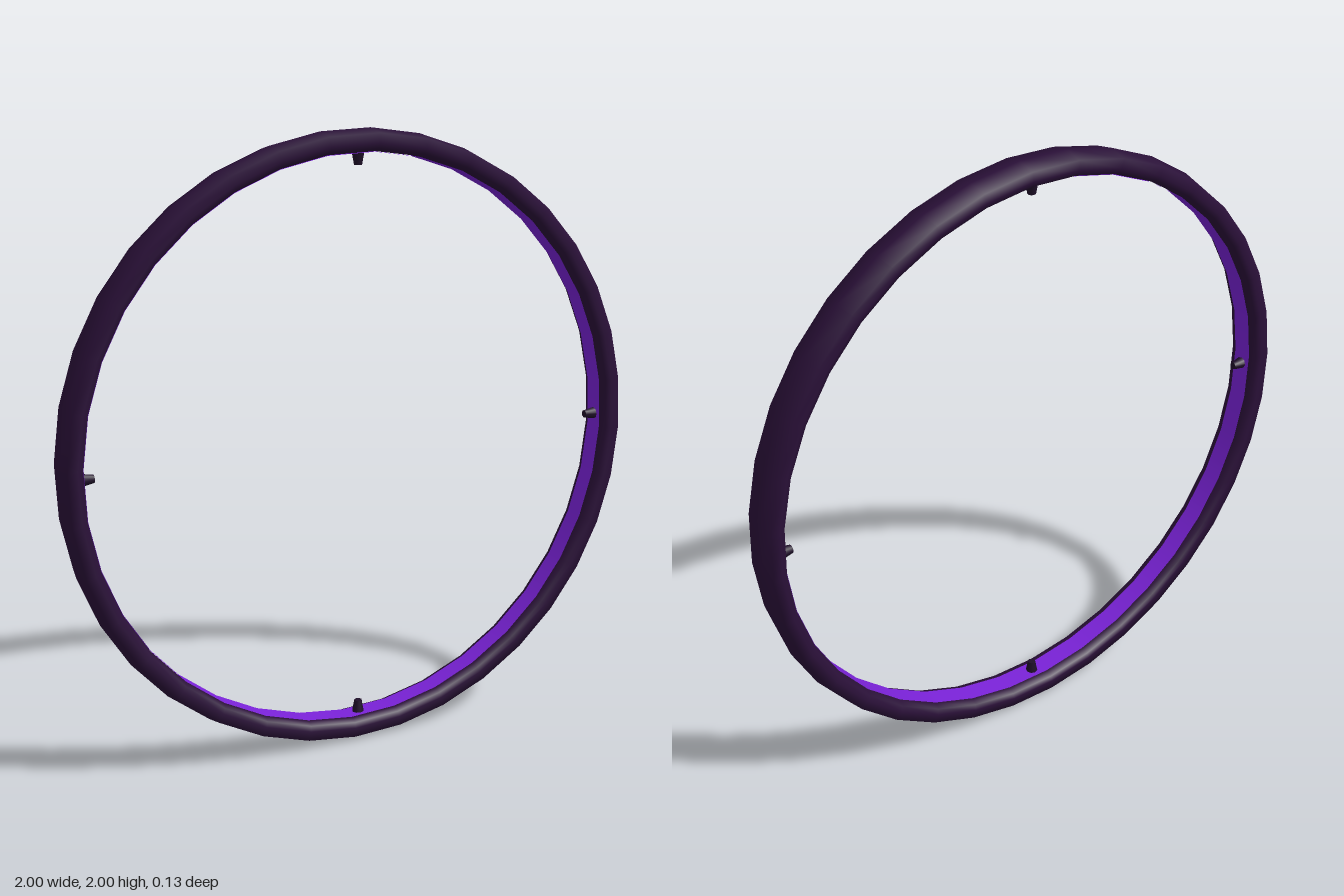
import * as THREE from 'three';

const SEGMENTS = 36;
const TWIST = -THREE.MathUtils.degToRad(2.5);

// Revolve a [radius, depth] profile around the z axis
function revolve(profile) {
  const points = profile.map(([r, z]) => new THREE.Vector2(r, z));
  const geometry = new THREE.LatheGeometry(points, SEGMENTS, TWIST, Math.PI * 2);
  return geometry.rotateX(Math.PI / 2);
}

export function createModel() {
  const model = new THREE.Group();
  model.name = 'ring';

  const darkPurple = new THREE.MeshStandardMaterial({ color: 0x2a1038 });
  darkPurple.name = 'dark purple';
  const brightPurple = new THREE.MeshStandardMaterial({ color: 0x7a22d8, side: THREE.DoubleSide });
  brightPurple.name = 'bright purple';
  const nearBlack = new THREE.MeshStandardMaterial({ color: 0x1e0f28 });
  nearBlack.name = 'near black';

  const assembly = new THREE.Group();
  assembly.name = 'ringAssembly';
  assembly.position.y = 1;
  model.add(assembly);

  // Hoop with a slightly bulged outer face
  const hoop = new THREE.Mesh(revolve([
    [0.929, 0], [0.929, -0.036], [0.938, -0.058], [0.955, -0.065], [0.986, -0.064],
    [0.999, 0],
    [0.986, 0.064], [0.955, 0.065], [0.938, 0.058], [0.929, 0.036], [0.929, 0],
  ]), darkPurple);
  hoop.name = 'hoop';
  assembly.add(hoop);

  // Bright strip lining the inside of the hoop
  const strip = new THREE.Mesh(revolve([[0.927, 0.034], [0.927, -0.034]]), brightPurple);
  strip.name = 'innerStrip';
  assembly.add(strip);

  // Four tapered studs pointing at the centre
  const studGeometry = new THREE.CylinderGeometry(0.025, 0.013, 0.065, 8);
  studGeometry.translate(0, 0.918, 0);
  for (let i = 0; i < 4; i++) {
    const stud = new THREE.Mesh(studGeometry, nearBlack);
    stud.name = 'stud' + (i + 1);
    stud.rotation.z = i * Math.PI / 2;
    assembly.add(stud);
  }

  return model;
}
